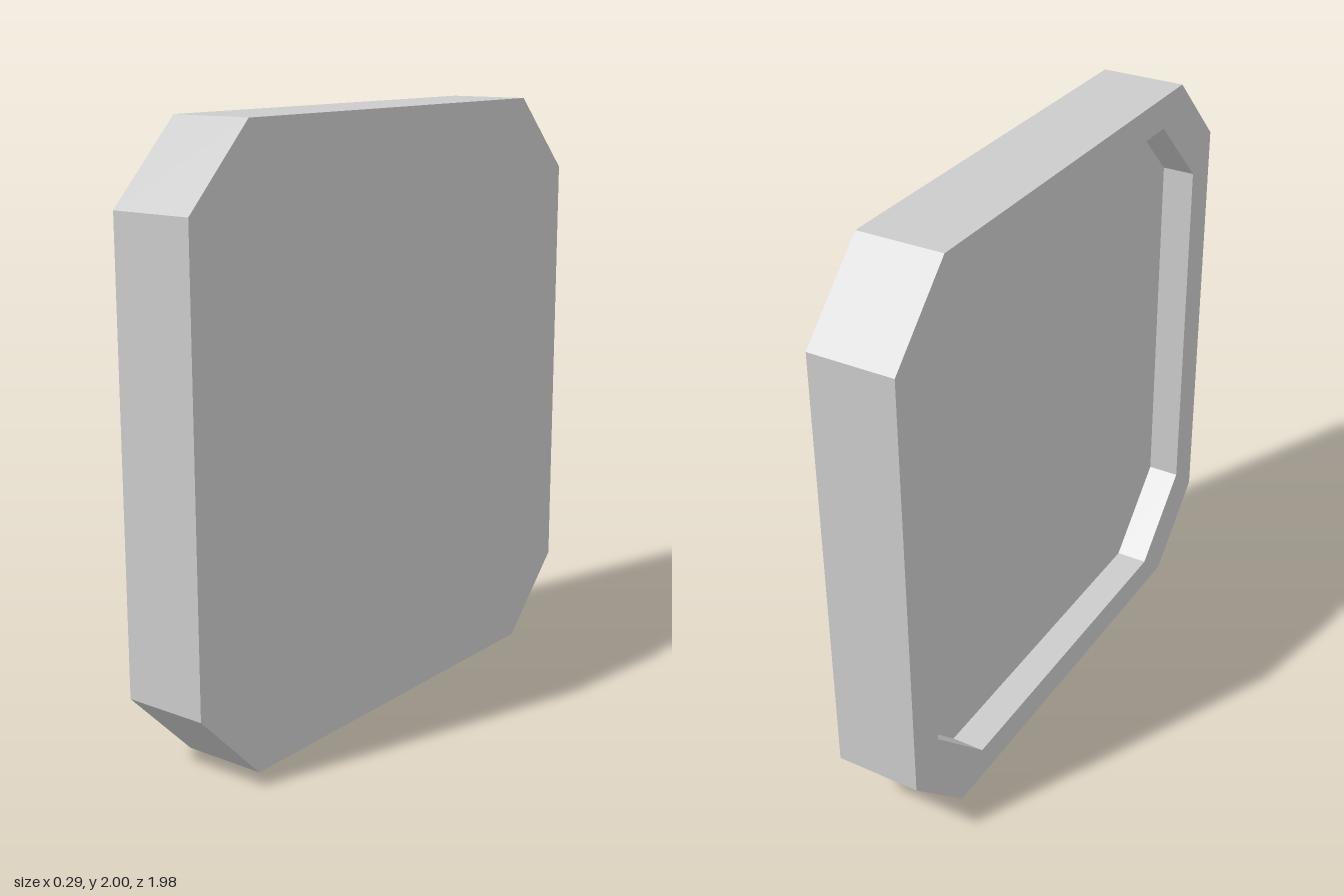
import * as THREE from 'three';

// Chamfered rectangle in the plane at x, counter-clockwise seen from +x.
function octagon(x, halfY, halfZ, cut) {
  const y = halfY, z = halfZ, cy = Math.max(halfY - cut, 0), cz = Math.max(halfZ - cut, 0);
  return [
    [y, -cz], [y, cz], [cy, z], [-cy, z],
    [-y, cz], [-y, -cz], [-cy, -z], [cy, -z],
  ].map(([py, pz]) => [x, py + 1, pz]);
}

// Joins successive loops with flat-shaded faces; a loop may shrink to a point.
function loft(loops) {
  const positions = [];
  const same = (a, b) => a.every((v, i) => Math.abs(v - b[i]) < 1e-6);
  const triangle = (a, b, c) => {
    if (!same(a, b) && !same(b, c) && !same(c, a)) positions.push(...a, ...b, ...c);
  };
  for (let k = 0; k < loops.length - 1; k++) {
    const A = loops[k], B = loops[k + 1];
    for (let i = 0; i < A.length; i++) {
      const j = (i + 1) % A.length;
      triangle(A[i], B[i], B[j]);
      triangle(A[i], B[j], A[j]);
    }
  }
  const geometry = new THREE.BufferGeometry();
  geometry.setAttribute('position', new THREE.Float32BufferAttribute(positions, 3));
  geometry.computeVertexNormals();
  return geometry;
}

export function createModel() {
  const group = new THREE.Group();
  group.name = 'recessedPanel';
  const material = new THREE.MeshStandardMaterial({ color: 0xcccccc, flatShading: true });

  const face = 0.145, floor = -0.032, cut = 0.257;
  const panel = new THREE.Mesh(loft([
    octagon(face, 0, 0, 0),            // centre of the plain face
    octagon(face, 1, 0.99, cut),       // edge of the plain face
    octagon(-face, 1, 0.99, cut),      // outer edge of the rim
    octagon(-face, 0.89, 0.86, cut),   // inner edge of the rim
    octagon(floor, 0.89, 0.86, cut),   // foot of the recess wall
    octagon(floor, 0, 0, 0),           // centre of the recess floor
  ]), material);
  panel.name = 'panel';
  group.add(panel);
  return group;
}
